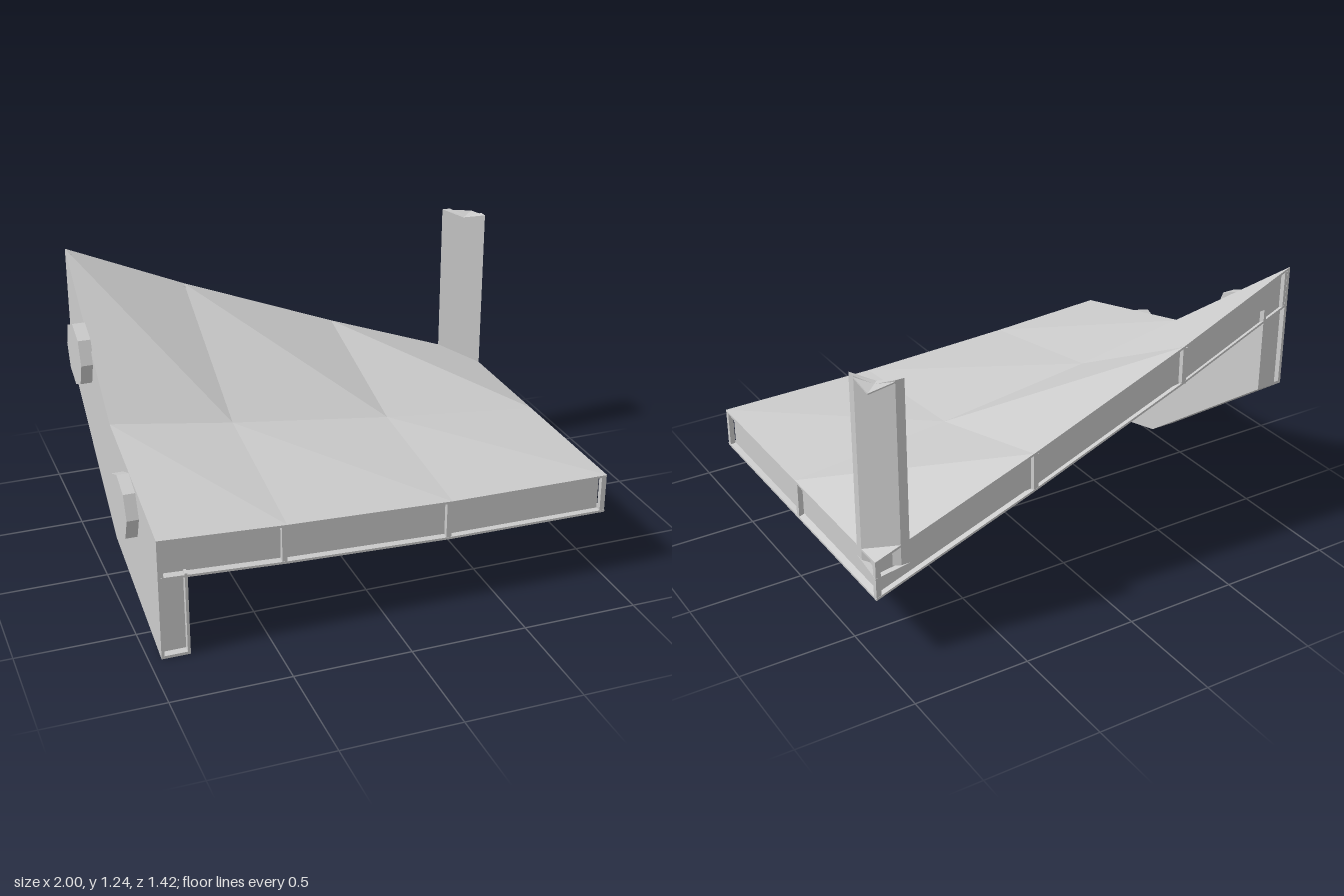
import * as THREE from 'three';

const X = [-0.95, -0.42, 0.29, 1];
const Z = [0.71, 0, -0.71];
// Roof heights: rows front to back, columns along x
const H = [
  [0.535, 0.505, 0.477, 0.47],
  [0.71, 0.63, 0.54, 0.47],
  [1.24, 1.01, 0.73, 0.47],
];
const SLAB = 0.175, BEAM = 0.535, RECESS = 0.025;

const material = new THREE.MeshStandardMaterial({ color: 0xcccccc, flatShading: true, side: THREE.DoubleSide });

// Roof height at any point
function height(x, z) {
  const i = x < X[1] ? 0 : x < X[2] ? 1 : 2;
  const k = z > 0 ? 0 : 1;
  const u = (x - X[i]) / (X[i + 1] - X[i]);
  const v = (z - Z[k]) / (Z[k + 1] - Z[k]);
  const row = (r) => H[r][i] * (1 - u) + H[r][i + 1] * u;
  return row(k) * (1 - v) + row(k + 1) * v;
}

// Joins section loops (top points left to right, then bottom points back), front to back
function loft(sections) {
  const pos = [];
  const tri = (...pts) => pts.forEach((p) => pos.push(...p));
  const m = sections[0].length, n = m / 2;
  for (let k = 0; k < sections.length - 1; k++) {
    for (let j = 0; j < m; j++) {
      const a = sections[k][j], b = sections[k][(j + 1) % m];
      const d = sections[k + 1][j], c = sections[k + 1][(j + 1) % m];
      if (j < n) { tri(a, b, d); tri(b, c, d); }
      else { tri(a, b, c); tri(a, c, d); }
    }
  }
  const f = sections[0], e = sections[sections.length - 1];
  for (let j = 0; j < n - 1; j++) {
    const p = m - 1 - j, q = m - 2 - j;
    tri(f[j], f[p], f[q]); tri(f[j], f[q], f[j + 1]);
    tri(e[j], e[q], e[p]); tri(e[j], e[j + 1], e[q]);
  }
  const g = new THREE.BufferGeometry();
  g.setAttribute('position', new THREE.Float32BufferAttribute(pos, 3));
  g.computeVertexNormals();
  return g;
}

// Sheet following the roof between two depths, pulled in at the open edges
function roofLayer(top, bottom, inset) {
  const xs = [X[0], X[1], X[2], X[3] - inset];
  return loft([Z[0] - inset, 0, Z[2] + inset].map((z) => [
    ...xs.map((x) => [x, height(x, z) - top, z]),
    ...[...xs].reverse().map((x) => [x, height(x, z) - bottom, z]),
  ]));
}

// Piece of the side beam, following the bent roof edge
function beamPart(x0, x1, top, bottom, inset) {
  return loft([Z[0] - inset, 0, Z[2] + inset].map((z) => {
    const y = height(X[0], z);
    const t0 = Math.min(y - top, height(x0, z) - 0.005);
    const t1 = Math.min(y - top, height(x1, z) - 0.005);
    return [[x0, t0, z], [x1, t1, z], [x1, y - bottom, z], [x0, y - bottom, z]];
  }));
}

export function createModel() {
  const group = new THREE.Group();
  const add = (name, geometry, x = 0, y = 0, z = 0) => {
    const mesh = new THREE.Mesh(geometry, material);
    mesh.name = name;
    mesh.position.set(x, y, z);
    group.add(mesh);
    return mesh;
  };

  // Roof slab: two skins around a recessed core
  add('roofTop', roofLayer(0, 0.01, 0));
  add('fasciaCore', roofLayer(0.005, SLAB - 0.005, RECESS));
  add('roofUnderside', roofLayer(SLAB - 0.01, SLAB, 0));

  // Ribs dividing the fascia
  const rib = (x, z) => add('fasciaRib',
    new THREE.BoxGeometry(0.022, SLAB - 0.012, 0.022), x, height(x, z) - SLAB / 2, z);
  for (const z of [0.698, -0.698]) {
    for (const x of [-0.938, -0.431, 0.279, 0.988]) rib(x, z);
  }
  rib(0.988, -0.012);

  // Deep side beam with skins standing proud of its ends
  add('beamOuterSkin', beamPart(-0.95, -0.938, 0.005, BEAM, 0));
  add('beamInnerSkin', beamPart(-0.842, -0.83, SLAB - 0.01, BEAM, 0));
  add('beamBottom', beamPart(-0.94, -0.84, BEAM - 0.012, BEAM, 0));
  add('beamCore', beamPart(-0.94, -0.84, SLAB - 0.03, BEAM - 0.005, RECESS));

  // Eight-sided discs on the beam
  for (const [y, z] of [[0.87, -0.403], [0.492, 0.305]]) {
    add('sideDisc', new THREE.CylinderGeometry(0.14, 0.14, 0.055, 8), -0.9725, y, z).rotation.z = Math.PI / 2;
  }

  // Diagonal corner post with a notched top
  const line = [[1, -0.56], [0.925, -0.635], [0.85, -0.71]];
  const inner = [[1, -0.598], [0.944, -0.654], [0.888, -0.71]];
  const tops = [1.215, 1.19, 1.215];
  const feet = [0.42, 0.405, 0.42];
  add('cornerPost', loft(line.map(([x, z], i) => {
    const [u, w] = inner[i];
    return [[x, tops[i], z], [u, tops[i], w], [u, feet[i], w], [x, feet[i], z]];
  })));

  // Folded triangular leaves closing the corner above and below
  const leaf = (name, ys, cornerY) => add(name, loft(line.map(([x, z], i) => {
    const [u, v, w] = i === 1 ? [1, cornerY, -0.71] : [x, ys[i], z];
    return [[x, ys[i], z], [u, v, w], [u, v - 0.006, w], [x, ys[i] - 0.006, z]];
  })));
  leaf('postCap', tops, 1.192);
  leaf('postFoot', feet, 0.395);

  return group;
}
